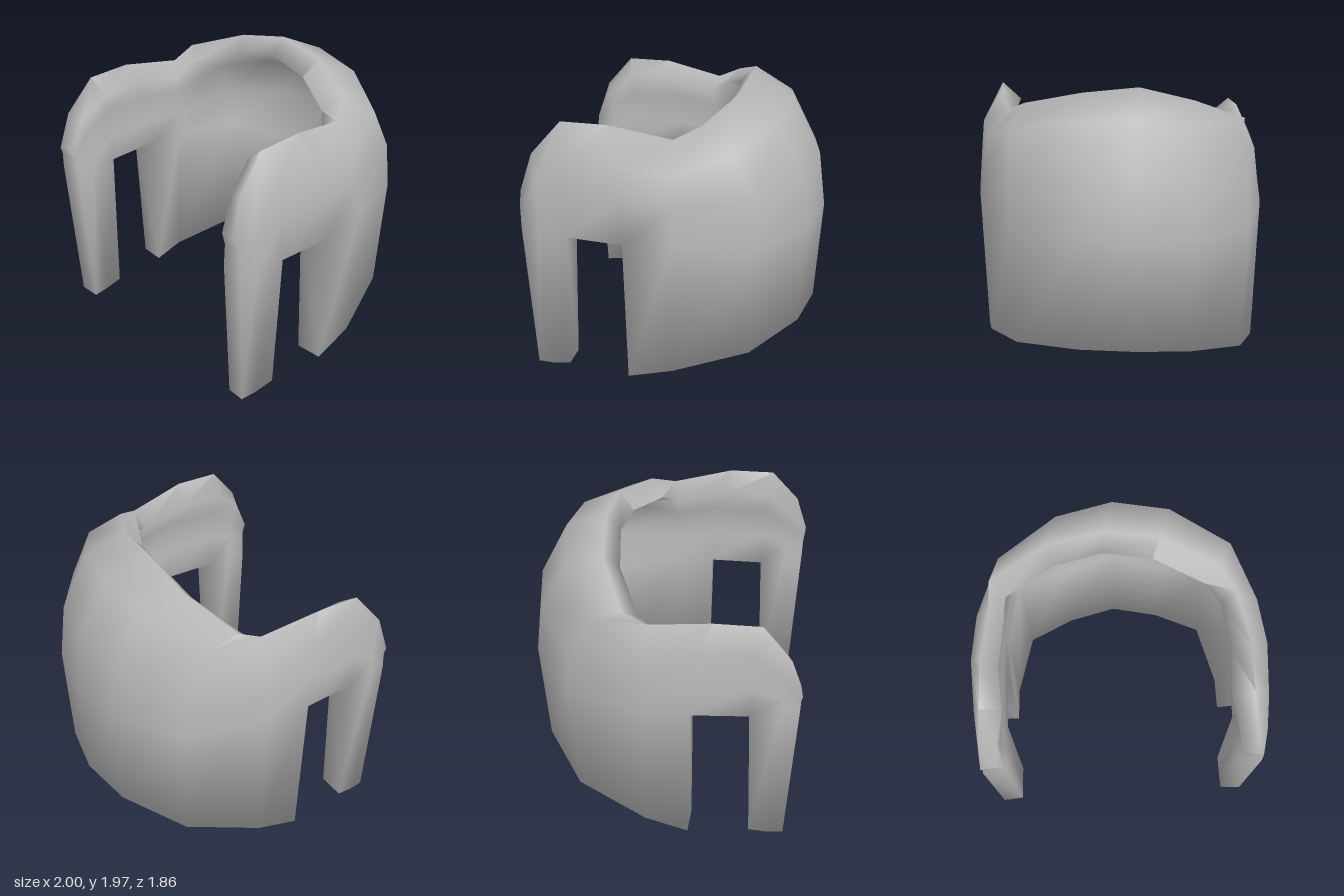
import * as THREE from 'three';
import { toCreasedNormals } from 'three/addons/utils/BufferGeometryUtils.js';

// One half of the wall, from the front leg round to the middle of the back.
// outer, inner, ledge: plan positions [x, z] at the waist; the ledge is the inner crease.
// foot: outer bottom edge [y, z]; sole: inner bottom edge; rimOuter, rimInner: top edges [x, y, z]
const half = [
  { outer: [0.93, 0.92], foot: [0.07, 0.885], rimOuter: [0.90, 1.33, 0.93], rimInner: [0.80, 1.33, 0.92], inner: [0.78, 0.91], ledge: [0.77, 0.91], sole: [0.76, 0.055, 0.87] },
  { outer: [0.95, 0.80], foot: [0.08, 0.78], rimOuter: [0.88, 1.58, 0.85], rimInner: [0.77, 1.54, 0.82], inner: [0.80, 0.78], ledge: [0.765, 0.78], sole: [0.755, 0.07, 0.77] },
  { outer: [0.97, 0.61], foot: [0.11, 0.65], rimOuter: [0.85, 1.80, 0.66], rimInner: [0.72, 1.69, 0.64], inner: [0.82, 0.61], ledge: [0.76, 0.61], sole: [0.75, 0.10, 0.65] },
  { outer: [1.00, 0.24], foot: [0.08, 0.235], rimOuter: [0.85, 1.80, 0.36], rimInner: [0.74, 1.69, 0.35], inner: [0.82, 0.24], ledge: [0.76, 0.24], sole: [0.78, 0.08, 0.245] },
  { outer: [0.98, -0.06], foot: [0.15, -0.06], rimOuter: [0.80, 1.72, -0.04], rimInner: [0.71, 1.62, 0.00], inner: [0.80, -0.02], ledge: [0.75, 0.00], sole: [0.77, 0.14, 0.04] },
  { outer: [0.79, -0.58], foot: [0.25, -0.54], rimOuter: [0.745, 1.79, -0.20], rimInner: [0.65, 1.70, -0.115], inner: [0.71, -0.51], ledge: [0.67, -0.45], sole: [0.65, 0.22, -0.36] },
  { outer: [0.38, -0.86], foot: [0.32, -0.82], rimOuter: [0.37, 1.91, -0.37], rimInner: [0.32, 1.80, -0.27], inner: [0.37, -0.73], ledge: [0.335, -0.55], sole: [0.33, 0.265, -0.49] },
  { outer: [0.00, -0.93], foot: [0.34, -0.89], rimOuter: [0.00, 1.975, -0.40], rimInner: [0.00, 1.855, -0.31], inner: [0.00, -0.80], ledge: [0.00, -0.65], sole: [0.00, 0.28, -0.56] },
];

// Closed section of the wall: foot, waist, shoulder, rim, and back down inside
function section(s, side) {
  const atBack = s.outer[1] < -0.1;
  const waist = atBack ? 1.07 : 1.125;
  const arc = ([x, z], [rx, ry, rz], degrees) => {
    const a = THREE.MathUtils.degToRad(degrees);
    const c = Math.cos(a), k = Math.sin(a);
    return [rx + (x - rx) * c, waist + (ry - waist) * k, rz + (z - rz) * c];
  };
  // The back rolls over in a full curve; the arms rise straight and then turn in
  const side3 = (start, base, rim) => {
    const low = [start[0], waist, start[1]];
    const high = arc(base, rim, atBack ? 57 : 45);
    const mid = atBack ? arc(base, rim, 25) : low.map((v, i) => (v + high[i]) / 2);
    return [low, mid, high, rim];
  };
  const pts = [
    [s.outer[0] * 0.965, s.foot[0], s.foot[1]],
    ...side3(s.outer, s.outer, s.rimOuter),
    ...side3(s.ledge, s.inner, s.rimInner).reverse(),
    s.sole,
  ];
  // The wall tilts a little sideways, most at the rim, which also sits off centre
  return pts.map(([x, y, z], row) => {
    const isRim = row === 4 || row === 5;
    const isWaist = row === 1 || row === 8;
    const tilt = isRim ? 0.085 : isWaist ? 0.025 : 0.06;
    const shift = isRim ? (atBack ? -0.075 : -0.03) : 0;
    return [x * side + shift, y + tilt * x * side, z];
  });
}

function shellGeometry() {
  const cols = [
    ...half.map(s => section(s, 1)),
    ...half.slice(0, -1).reverse().map(s => section(s, -1)),
  ];
  const last = cols.length - 1;
  const out = [];
  const quad = (a, b, c, d) => out.push(...a, ...b, ...c, ...a, ...c, ...d);

  // Wall skin, open below the waist between the front leg and the side
  for (let i = 0; i < last; i++) {
    const p = cols[i], q = cols[i + 1];
    const opening = i === 2 || i === last - 3;
    const strip = (r, n) => quad(p[r], q[r], q[n], p[n]);
    for (let r = opening ? 1 : 0; r < (opening ? 8 : 10); r++) strip(r, (r + 1) % 10);
    if (opening) strip(8, 1);
  }

  // Leg faces, side-wall ends and front caps
  const cap = (col, rows, flip) => {
    for (let r = 0; r < rows; r++) {
      const f = [col[r], col[r + 1], col[8 - r], col[9 - r]];
      quad(...(flip ? f.reverse() : f));
    }
  };
  [[0, 4, false], [2, 1, true], [3, 1, false]].forEach(([i, rows, flip]) => {
    cap(cols[i], rows, flip);
    cap(cols[last - i], rows, !flip);
  });

  const geo = new THREE.BufferGeometry();
  geo.setAttribute('position', new THREE.Float32BufferAttribute(out, 3));
  return toCreasedNormals(geo, 1.9);
}

export function createModel() {
  const grey = new THREE.MeshStandardMaterial({ color: 0xb8b8b8 });
  grey.name = 'grey';
  const shell = new THREE.Mesh(shellGeometry(), grey);
  shell.name = 'curvedShellWithLegs';
  const group = new THREE.Group();
  group.name = 'chairShell';
  group.add(shell);
  return group;
}
